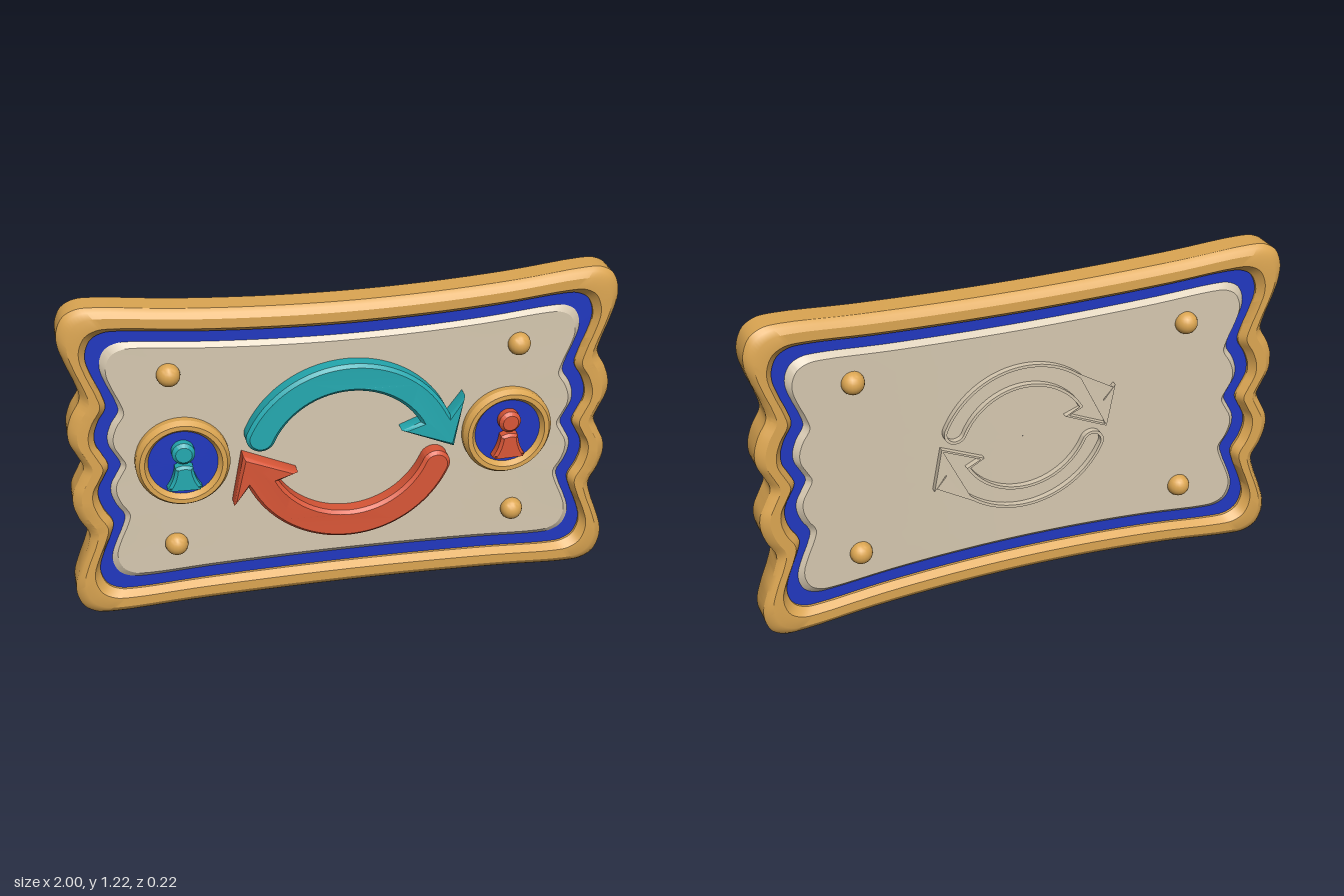
import * as THREE from 'three';
import { toCreasedNormals } from 'three/addons/utils/BufferGeometryUtils.js';

const MID = 0.61; // height of the sign's centre

export function createModel() {
  const mat = (name, color) => {
    const m = new THREE.MeshStandardMaterial({ color });
    m.name = name;
    return m;
  };
  const gold = mat('gold', 0xdca652);
  const cream = mat('cream', 0xd6c8b0);
  const blue = mat('blue', 0x2138c0);
  const teal = mat('teal', 0x24a9b0);
  const red = mat('red', 0xd95637);

  const group = new THREE.Group();
  group.name = 'exchangeSign';

  // The whole sign bows gently forward in the middle
  const bend = (geo) => {
    const p = geo.attributes.position;
    for (let i = 0; i < p.count; i++) {
      p.setZ(i, p.getZ(i) + 0.035 * (1 - p.getX(i) ** 2) - 0.0325);
    }
    return geo;
  };
  const add = (name, geo, material, crease = 0.5) => {
    const mesh = new THREE.Mesh(toCreasedNormals(bend(geo), crease), material);
    mesh.name = name;
    group.add(mesh);
    return mesh;
  };

  // Scalloped outline: one quarter, mirrored to all four
  const quarter = [
    [0.942, 0], [0.962, 0.05], [0.985, 0.1], [0.988, 0.15], [0.97, 0.21], [0.938, 0.272],
    [0.95, 0.33], [0.98, 0.41], [1, 0.48], [0.998, 0.53], [0.975, 0.58], [0.93, 0.606],
    [0.87, 0.61], [0.6, 0.589], [0.3, 0.575], [0, 0.57],
  ];
  const half = [...quarter, ...quarter.slice(0, -1).reverse().map(([x, y]) => [-x, y])];
  const loop = [...half, ...half.slice(1, -1).reverse().map(([x, y]) => [x, -y])];
  const outline = new THREE.CatmullRomCurve3(
    loop.map(([x, y]) => new THREE.Vector3(x, y, 0)), true, 'centripetal').getPoints(240).slice(0, -1);

  // Loft the outline through steps of [inset, z, scale]
  const loft = (steps, closed = false) => {
    const n = outline.length, pos = [], idx = [];
    for (const [d, z, s = 1] of steps) {
      for (const p of outline) {
        pos.push(p.x * (1 - d) * s, MID + p.y * (1 - d / MID) * s, z);
      }
    }
    const rows = closed ? steps.length : steps.length - 1;
    for (let i = 0; i < rows; i++) {
      const a = i * n, b = ((i + 1) % steps.length) * n;
      for (let j = 0; j < n; j++) {
        const k = (j + 1) % n;
        idx.push(a + j, a + k, b + k, a + j, b + k, b + j);
      }
    }
    const geo = new THREE.BufferGeometry();
    geo.setAttribute('position', new THREE.Float32BufferAttribute(pos, 3));
    geo.setIndex(idx);
    return geo;
  };

  // Frame, blue border and raised panel
  const rim = [[0, 0.045], [0.012, 0.061], [0.032, 0.0725], [0.07, 0.0725], [0.092, 0.045]];
  add('frame', loft([...rim, ...rim.slice().reverse().map(([d, z]) => [d, -z])], true), gold);
  add('borderFront', loft([[0.085, 0.035], [0.15, 0.035]]), blue);
  add('borderBack', loft([[0.15, -0.035], [0.085, -0.035]]), blue);
  const scales = [1, 0.8, 0.6, 0.4, 0.2, 0.001];
  add('panel', loft([
    ...scales.slice().reverse().map((s) => [0.158, -0.055, s]),
    [0.136, -0.033], [0.136, 0.033],
    ...scales.map((s) => [0.158, 0.05, s]),
  ]), cream);

  // Curved arrow, drawn around the sign's centre
  const arrowShape = (g = 0) => {
    const cy = -0.057, r = 0.351, w = 0.0525 - g, tail = 2.72;
    const s = new THREE.Shape();
    s.absarc(0, cy, r + w, 0.42, tail, false);
    s.absarc(r * Math.cos(tail), cy + r * Math.sin(tail), w, tail, tail + Math.PI, false);
    s.absarc(0, cy, r - w, tail, 0.515, true);
    const c = [0.335, 0.08];
    for (const [x, y] of [[0.19, 0.063], [0.385, -0.02], [0.422, 0.178]]) {
      const k = 1 - g * 9;
      s.lineTo(c[0] + (x - c[0]) * k, c[1] + (y - c[1]) * k);
    }
    s.closePath();
    return s;
  };
  const extrude = (shape, depth, bevel) => new THREE.ExtrudeGeometry(shape, {
    depth: depth - bevel, curveSegments: 32, bevelEnabled: bevel > 0,
    bevelThickness: bevel, bevelSize: bevel, bevelOffset: -bevel, bevelSegments: 1,
  });
  [['tealArrow', teal, 0], ['redArrow', red, Math.PI]].forEach(([name, material, turn]) => {
    add(name, extrude(arrowShape(), 0.07, 0.012).rotateZ(turn).translate(0, MID + 0.005, 0.04), material);

    // Raised outline of the same arrow on the back
    const line = arrowShape();
    line.holes.push(new THREE.Path(arrowShape(0.013).getPoints(32)));
    add(name + 'BackOutline', extrude(line, 0.028, 0).scale(0.83, 0.83, 1)
      .rotateZ(turn).rotateY(Math.PI).translate(0, MID + 0.005, -0.05), cream);
  });

  // Medallions with a small figure in each
  const ring = [[0.168, 0.03], [0.168, 0.075], [0.155, 0.095], [0.138, 0.095], [0.124, 0.075], [0.124, 0.03]];
  const body = new THREE.Shape();
  body.moveTo(-0.062, -0.088);
  body.quadraticCurveTo(0, -0.105, 0.062, -0.088);
  body.quadraticCurveTo(0.035, -0.05, 0.032, -0.005);
  body.quadraticCurveTo(0, 0.012, -0.032, -0.005);
  body.quadraticCurveTo(-0.035, -0.05, -0.062, -0.088);
  const head = new THREE.Shape().absarc(0, 0.05, 0.041, 0, Math.PI * 2);
  [['left', 1, red], ['right', -1, teal]].forEach(([side, sx, material]) => {
    const x = 0.595 * sx, y = MID + 0.007;
    add(side + 'MedallionRing', new THREE.LatheGeometry(
      ring.map(([r, z]) => new THREE.Vector2(r, z)).reverse(), 48)
      .rotateX(Math.PI / 2).translate(x, y, 0), gold).material.side = THREE.DoubleSide;
    add(side + 'MedallionDisc', new THREE.CylinderGeometry(0.128, 0.128, 0.035, 48)
      .rotateX(Math.PI / 2).translate(x, y, 0.0575), blue);
    add(side + 'FigureHead', extrude(head, 0.045, 0.012).translate(x, y, 0.07), material);
    add(side + 'FigureBody', extrude(body, 0.045, 0.01).translate(x, y, 0.07), material);
  });

  // Rivets on both faces
  for (const x of [-0.63, 0.63]) {
    for (const y of [0.275, 0.955]) {
      for (const z of [-0.058, 0.056]) {
        add('rivet', new THREE.SphereGeometry(0.042, 20, 14).translate(x, y, z), gold, 0.7);
      }
    }
  }
  return group;
}
